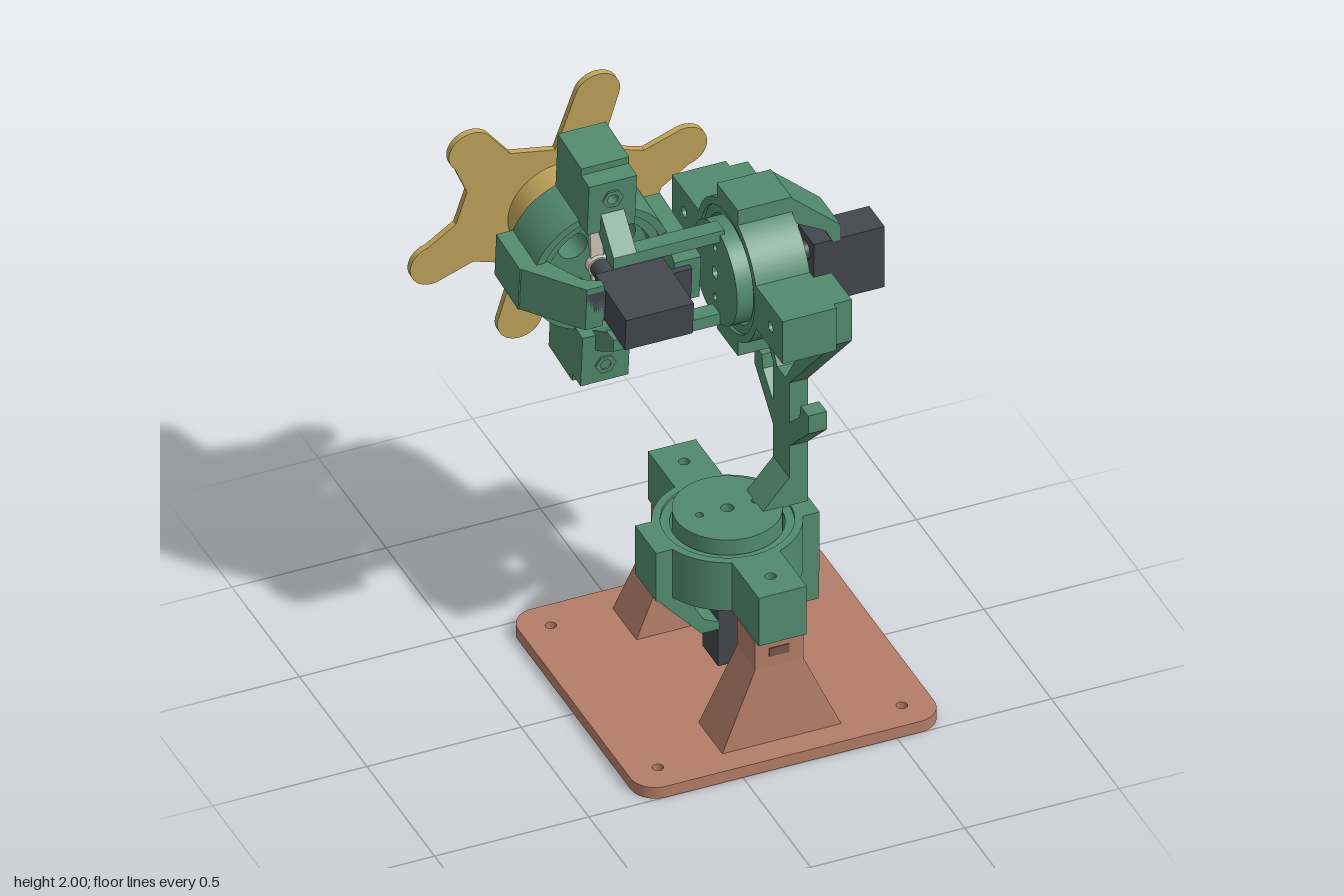
import * as THREE from 'three';
import { toCreasedNormals } from 'three/addons/utils/BufferGeometryUtils.js';

const material = (name, color) => Object.assign(new THREE.MeshStandardMaterial({ color }), { name });
const green = material('green plastic', 0x528a6e);
const brown = material('terracotta plastic', 0xb37d68);
const slotBrown = material('dark terracotta', 0x7a5446);
const gold = material('mustard plastic', 0xc2a55a);
const dark = material('motor grey', 0x43464d);
const cream = material('cream plastic', 0xd2ccc0);

const HALF = 0.0775; // half width of wings, stubs and pads
const JOINT_R = 0.225;

function add(parent, name, geometry, mat, x = 0, y = 0, z = 0) {
  const mesh = new THREE.Mesh(geometry, mat);
  mesh.name = name;
  mesh.position.set(x, y, z);
  parent.add(mesh);
  return mesh;
}

// Box given by its minimum and maximum on each axis
function block(parent, name, mat, [x0, x1], [y0, y1], [z0, z1]) {
  return add(parent, name, new THREE.BoxGeometry(x1 - x0, y1 - y0, z1 - z0), mat,
    (x0 + x1) / 2, (y0 + y1) / 2, (z0 + z1) / 2);
}

function polygon(points) {
  return new THREE.Shape(points.map(([x, y]) => new THREE.Vector2(x, y)));
}

function hole(shape, x, y, r) {
  shape.holes.push(new THREE.Path().absarc(x, y, r, 0, Math.PI * 2, true));
}

function disc(r) {
  return new THREE.Shape().absarc(0, 0, r, 0, Math.PI * 2, false);
}

function extrude(shape, depth) {
  return toCreasedNormals(new THREE.ExtrudeGeometry(shape, { depth, bevelEnabled: false, curveSegments: 24 }), 0.5);
}

// Shape lies in x,z and is extruded downwards
const slab = (shape, depth) => extrude(shape, depth).rotateX(Math.PI / 2);
// Shape lies in z,y and is extruded towards -x
const sideSlab = (shape, depth) => extrude(shape, depth).rotateY(-Math.PI / 2);

function jointOutline() {
  const shape = new THREE.Shape();
  const half = Math.asin(HALF / JOINT_R);
  for (let i = 0; i < 4; i++) {
    const a = i * Math.PI / 2, length = i % 2 ? 0.41 : 0.265;
    const c = Math.cos(a), s = Math.sin(a);
    const corner = (side) => [length * c - side * HALF * s, length * s + side * HALF * c];
    if (i === 0) shape.moveTo(JOINT_R * Math.cos(half), -HALF);
    shape.lineTo(...corner(-1));
    shape.lineTo(...corner(1));
    shape.absarc(0, 0, JOINT_R, a + half, a + Math.PI / 2 - half, false);
  }
  hole(shape, 0, 0, 0.2);
  for (const s of [-1, 1]) hole(shape, 0, s * 0.32, 0.017);
  return shape;
}

// Rotary joint: output faces +y, motor hangs below, wings along z
function makeJoint(name, outputMat) {
  const joint = new THREE.Group();
  joint.name = name;
  add(joint, 'housing', slab(jointOutline(), 0.175), green);

  const bearing = disc(0.203);
  hole(bearing, 0, 0, 0.172);
  add(joint, 'bearing ring', slab(bearing, 0.155), green, 0, -0.01);

  // Output disc with screw holes, and the carrier with round openings
  const output = disc(0.165);
  hole(output, 0, 0, 0.02);
  for (const s of [-1, 1]) hole(output, s * 0.09, 0, 0.012);
  add(joint, 'output disc', slab(output, 0.1), outputMat, 0, 0.04);
  const carrier = disc(0.168);
  for (const sx of [-1, 1]) for (const sz of [-1, 1]) hole(carrier, sx * 0.078, sz * 0.085, 0.047);
  add(joint, 'carrier', slab(carrier, 0.08), green, 0, -0.06);

  const horn = new THREE.Group();
  horn.name = 'servo horn';
  block(horn, 'horn bar', cream, [-0.02, 0.02], [-0.152, -0.136], [-0.165, 0.165]);
  add(horn, 'horn hub', new THREE.CylinderGeometry(0.035, 0.035, 0.03, 24), cream, 0, -0.15);
  horn.rotation.y = -0.07;
  joint.add(horn);

  // Motor and the bracket carrying its ears
  block(joint, 'motor', dark, [-0.055, 0.165], [-0.485, -0.255], [-0.0575, 0.0575]);
  block(joint, 'motor ears', dark, [-0.115, 0.225], [-0.335, -0.315], [-0.0575, 0.0575]);
  add(joint, 'motor shaft', new THREE.CylinderGeometry(0.03, 0.03, 0.11, 20), dark, 0, -0.205);
  const strut = polygon([[-0.265, -0.17], [-0.135, -0.315], [-0.117, -0.335], [-0.06, -0.335],
    [-0.06, -0.31], [-0.11, -0.285], [-0.175, -0.17]]);
  add(joint, 'slanted motor bracket', extrude(strut, HALF * 2), green, 0, 0, -HALF);
  const post = polygon([[0.265, -0.17], [0.262, -0.315], [0.175, -0.315], [0.2, -0.17]]);
  add(joint, 'straight motor bracket', extrude(post, HALF * 2), green, 0, 0, -HALF);
  return joint;
}

function makeBase() {
  const base = new THREE.Group();
  base.name = 'base';
  const plate = new THREE.Shape(), r = 0.08;
  plate.absarc(0.655 - r, 0.5 - r, r, 0, Math.PI / 2);
  plate.absarc(-0.33 + r, 0.5 - r, r, Math.PI / 2, Math.PI);
  plate.absarc(-0.33 + r, -0.49 + r, r, Math.PI, Math.PI * 1.5);
  plate.absarc(0.655 - r, -0.49 + r, r, Math.PI * 1.5, Math.PI * 2);
  for (const x of [-0.233, 0.558]) for (const z of [-0.39, 0.402]) hole(plate, x, z, 0.017);
  add(base, 'base plate', slab(plate, 0.04), brown, 0, 0.04);

  // Tapered towers under the wings of the lowest joint
  for (const side of [-1, 1]) {
    const z = 0.01 + side * 0.318;
    const taper = new THREE.BoxGeometry(0.156, 0.27, 0.136);
    const p = taper.attributes.position;
    for (let i = 0; i < p.count; i++) {
      if (p.getY(i) < 0) p.setXYZ(i, p.getX(i) * 2.53, p.getY(i), p.getZ(i) * 1.3);
    }
    taper.computeVertexNormals();
    add(base, 'tower foot', taper, brown, 0.163, 0.165, z);
    block(base, 'tower top', brown, [0.085, 0.241], [0.3, 0.4], [z - 0.068, z + 0.068]);
    block(base, 'nut slot', slotBrown, [0.13, 0.195], [0.337, 0.367],
      [z + side * 0.068 - 0.003, z + side * 0.068 + 0.003]);
  }
  return base;
}

function makeLowerLink() {
  const link = new THREE.Group();
  link.name = 'forked lower link';
  // Half outline: stem, hook, fork leg and mounting pad
  const half = [[0.06, 0.612], [0.06, 0.83], [0.2, 0.965], [0.2, 1.03], [0.143, 1.03], [0.135, 0.985],
    [0.06, 0.915], [0.06, 1.06], [0.385, 1.41], [0.385, 1.56], [0.235, 1.56], [0.25, 1.39], [0.03, 1.06]];
  const fork = polygon([...half, ...half.map(([x, y]) => [-x, y]).reverse()]);
  for (const s of [-1, 1]) hole(fork, s * 0.32, 1.485, 0.017);
  add(link, 'fork', sideSlab(fork, 0.06), green, 0.4, 0, 0.0075);
  const foot = polygon([[0.25, 0.61], [0.345, 0.61], [0.345, 0.72]]);
  add(link, 'foot', extrude(foot, 0.12), green, 0, 0, -0.0525);
  return link;
}

function makeUpperLink() {
  const link = new THREE.Group();
  link.name = 'upper link';
  const stems = [
    [[0.045, 1.62], [0.045, 1.66], [-0.05, 1.76], [-0.11, 1.76], [-0.11, 1.72], [0, 1.62]],
    [[0.045, 1.36], [0.045, 1.32], [-0.08, 1.24], [-0.14, 1.24], [-0.14, 1.28], [0, 1.36]],
  ];
  stems.forEach((points, i) => {
    const y = i ? 1.32 : 1.62;
    block(link, 'beam', green, [-0.22, 0.14], [y, y + 0.04], [-0.01, 0.045]);
    add(link, 'stem', sideSlab(polygon(points), 0.075), green, -0.145);
  });
  return link;
}

// Six-armed end plate
function makeEndPlate() {
  const shape = new THREE.Shape();
  const valleys = [[[0.227, 0.2], [0.078, 0.21]], [[-0.078, 0.21], [-0.227, 0.2]], [[-0.33, 0.06], [-0.33, -0.06]]];
  for (let i = 0; i < 6; i++) {
    const a = Math.PI / 6 + i * Math.PI / 3, flip = i < 3 ? 1 : -1;
    shape.absarc(0.418 * Math.cos(a), 0.418 * Math.sin(a), 0.073, a - Math.PI / 2, a + Math.PI / 2, false);
    for (const [x, y] of valleys[i % 3]) shape.lineTo(flip * x, flip * y);
  }
  hole(shape, 0, 0, 0.026);
  for (const s of [-1, 1]) hole(shape, s * 0.095, 0, 0.015);
  return extrude(shape, 0.02).rotateZ(-0.269).rotateX(Math.PI / 2);
}

export function createModel() {
  const model = new THREE.Group();
  model.name = 'robot arm';
  model.add(makeBase());

  const baseJoint = makeJoint('base joint', green);
  baseJoint.position.set(0.165, 0.575, 0.0075);
  const elbow = makeJoint('elbow joint', green);
  elbow.position.set(0.165, 1.485, 0.0075);
  elbow.rotation.set(0, Math.PI, Math.PI / 2);
  // Output towards -x, long motor side down
  elbow.quaternion.setFromRotationMatrix(new THREE.Matrix4().makeBasis(
    new THREE.Vector3(0, -1, 0), new THREE.Vector3(-1, 0, 0), new THREE.Vector3(0, 0, -1)));
  const wrist = makeJoint('wrist joint', gold);
  wrist.position.set(-0.185, 1.512, -0.305);
  wrist.rotation.x = -Math.PI / 2 + 0.083;
  model.add(baseJoint, elbow, wrist, makeLowerLink(), makeUpperLink());

  // Pads of the upper link bolted onto the wrist wings
  for (const s of [-1, 1]) {
    const pad = polygon([[-HALF, s * 0.2], [HALF, s * 0.2], [HALF, s * 0.385], [-HALF, s * 0.385]]);
    hole(pad, 0, s * 0.32, 0.017);
    add(wrist, 'link pad', slab(pad, 0.06), green, 0, -0.175);
    const nut = polygon([0, 1, 2, 3, 4, 5].map((i) =>
      [0.034 * Math.cos(i * Math.PI / 3), s * 0.32 + 0.034 * Math.sin(i * Math.PI / 3)]));
    hole(nut, 0, s * 0.32, 0.017);
    add(wrist, 'nut', slab(nut, 0.006), green, 0, -0.235);
  }
  add(wrist, 'end hub', new THREE.CylinderGeometry(0.165, 0.165, 0.1, 48), gold, 0, 0.087);
  add(wrist, 'end plate', makeEndPlate(), gold, 0, 0.157);
  return model;
}
